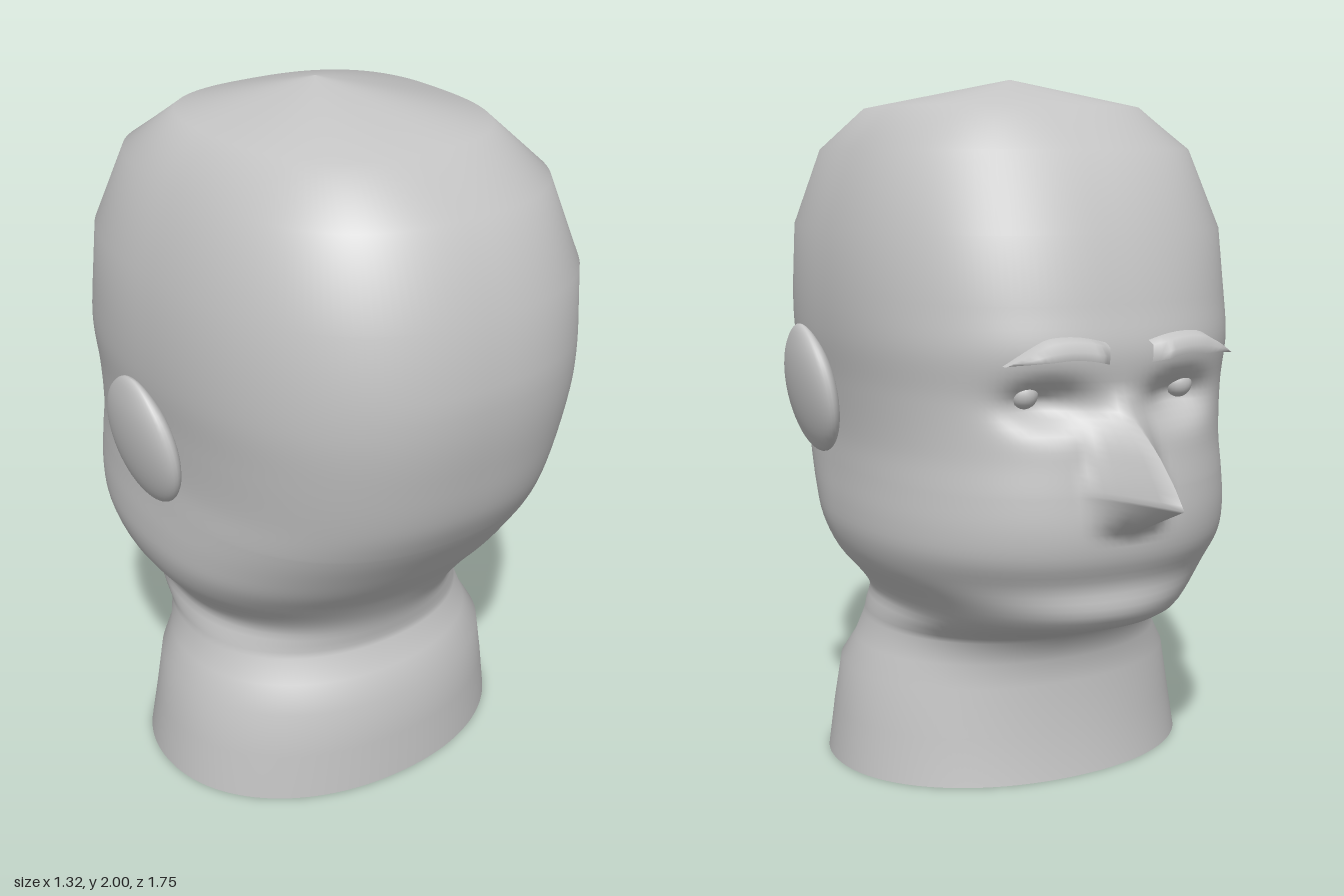
import * as THREE from 'three';

const skin = new THREE.MeshStandardMaterial({ color: 0xc4c4c4, side: THREE.DoubleSide });
skin.name = 'plain grey';

// Head cross-sections: height, half width, back z, face z, z of widest point, roundness
const SECTIONS = [
  [0.00, 0.555, 0.57, -0.30, 0.14, 2.1],
  [0.14, 0.535, 0.563, -0.275, 0.14, 2.1],
  [0.28, 0.51, 0.555, -0.27, 0.14, 2.1],
  [0.35, 0.47, 0.51, -0.265, 0.13, 2.1],
  [0.42, 0.447, 0.477, -0.30, 0.12, 2.1],
  [0.46, 0.442, 0.48, -0.38, 0.10, 2.1],
  [0.51, 0.432, 0.492, -0.52, 0.08, 2.1],
  [0.56, 0.46, 0.515, -0.567, 0.08, 2.1],
  [0.64, 0.525, 0.565, -0.565, 0.08, 2.2],
  [0.72, 0.555, 0.63, -0.60, 0.09, 2.3],
  [0.80, 0.56, 0.69, -0.612, 0.10, 2.35],
  [0.90, 0.555, 0.76, -0.605, 0.12, 2.4],
  [1.00, 0.552, 0.812, -0.59, 0.13, 2.4],
  [1.15, 0.563, 0.85, -0.572, 0.14, 2.45],
  [1.28, 0.577, 0.872, -0.582, 0.14, 2.45],
  [1.40, 0.578, 0.876, -0.558, 0.14, 2.45],
  [1.58, 0.568, 0.86, -0.52, 0.14, 2.5],
  [1.80, 0.49, 0.76, -0.41, 0.14, 2.6],
  [1.92, 0.375, 0.59, -0.23, 0.13, 2.6],
  [2.00, 0.0005, 0.0905, 0.0895, 0.09, 2],
];
const NOSE_DEPTH = [[0.78, 0], [0.80, 0.02], [0.865, 0.17], [0.907, 0.27], [0.96, 0.232],
  [1.03, 0.165], [1.115, 0.035], [1.18, 0]];
const NOSE_WIDTH = [[0.8, 0.14], [0.93, 0.135], [1.1, 0.09], [1.2, 0.07]];

// Linear lookup in a table sorted by its first column
function lookup(table, y, col = 1) {
  if (y <= table[0][0]) return table[0][col];
  for (let i = 1; i < table.length; i++) {
    const a = table[i - 1], b = table[i];
    if (y <= b[0]) return THREE.MathUtils.lerp(a[col], b[col], (y - a[0]) / (b[0] - a[0]));
  }
  return table[table.length - 1][col];
}

// Smooth lookup for the head sections
function section(y, col) {
  const T = SECTIONS;
  let i = 0;
  while (i < T.length - 2 && y > T[i + 1][0]) i++;
  const slope = (k) => {
    const a = T[Math.max(k - 1, 0)], b = T[Math.min(k + 1, T.length - 1)];
    return (b[col] - a[col]) / (b[0] - a[0]);
  };
  const h = T[i + 1][0] - T[i][0], t = (y - T[i][0]) / h, t2 = t * t, t3 = t2 * t;
  return T[i][col] * (2 * t3 - 3 * t2 + 1) + slope(i) * h * (t3 - 2 * t2 + t)
    + T[i + 1][col] * (3 * t2 - 2 * t3) + slope(i + 1) * h * (t3 - t2);
}

// Surface through rows of points, optionally closed around each row
function loft(rows, closed) {
  const n = rows[0].length, pos = rows.flat(2), index = [];
  for (let r = 0; r < rows.length - 1; r++) {
    for (let c = 0; c < (closed ? n : n - 1); c++) {
      const a = r * n + c, b = r * n + (c + 1) % n;
      index.push(a, b, a + n, b, b + n, a + n);
    }
  }
  const g = new THREE.BufferGeometry();
  g.setAttribute('position', new THREE.Float32BufferAttribute(pos, 3));
  g.setIndex(index);
  g.computeVertexNormals();
  return g;
}

// Skull, face, nose and open neck in one skin
function headGeometry() {
  const ys = SECTIONS.map((s) => s[0]).filter((y) => y < 0.42 || y > 1.38);
  for (let y = 0.42; y < 1.37; y += 0.02) ys.push(y);
  ys.push(0.907);
  ys.sort((a, b) => a - b);
  const count = 192;
  const rows = ys.map((y) => {
    const [hw, zb, zf, cz, n] = [1, 2, 3, 4, 5].map((c) => section(y, c));
    const depth = lookup(NOSE_DEPTH, y), width = lookup(NOSE_WIDTH, y);
    const row = [];
    for (let i = 0; i < count; i++) {
      const a = (i / count) * Math.PI * 2, s = Math.sin(a), c = Math.cos(a);
      const b = c > 0 ? zb - cz : cz - zf;
      const r = Math.pow(Math.pow(Math.abs(s) / hw, n) + Math.pow(Math.abs(c) / b, n), -1 / n);
      const x = r * s;
      let z = cz + r * c;
      if (c < 0) {
        // nose outwards, eye sockets inwards
        z -= depth * Math.pow(Math.max(0, 1 - Math.abs(x) / width), 1.5);
        const dx = (Math.abs(x) - 0.2) / 0.1, dy = (y - 1.14) / 0.055;
        z += 0.085 * Math.exp(-dx * dx - dy * dy);
      }
      row.push([x, y, z]);
    }
    return row;
  });
  return loft(rows, true);
}

// Thin arched brow, hooked over the eye
function browGeometry() {
  const ridge = [[0, -0.615], [0.12, -0.645], [0.5, -0.63], [0.78, -0.615], [1, -0.565]];
  const rows = [];
  for (let i = 0; i <= 16; i++) {
    const t = i / 16, x = 0.065 + 0.28 * t, front = lookup(ridge, t);
    const y = 1.255 + 0.035 * Math.sin(Math.PI * Math.min(1, 0.15 + 0.85 * t));
    const h = 0.035 * Math.min(1, 2.5 * (1 - t));
    const back = Math.max(front + 0.005, -0.59 + 0.04 * t * t);
    rows.push([[x, y + h, back], [x, y + h * 0.7, (front + back) / 2 - 0.01],
      [x, y, front], [x, y - h * 0.6, front + 0.005]]);
  }
  return loft(rows, false);
}

// Flattened oval ear with a slight peak
function earGeometry() {
  const g = new THREE.SphereGeometry(1, 32, 24), p = g.attributes.position;
  for (let i = 0; i < p.count; i++) {
    const y = p.getY(i), peak = Math.max(0, (y - 0.75) / 0.25);
    p.setXYZ(i, p.getX(i) * 0.05, y * 0.182 + 0.012 * peak * peak, p.getZ(i) * 0.168);
  }
  g.computeVertexNormals();
  return g;
}

export function createModel() {
  const model = new THREE.Group();
  model.name = 'headBust';
  const add = (name, geometry, parent) => {
    const mesh = new THREE.Mesh(geometry, skin);
    mesh.name = name;
    parent.add(mesh);
    return mesh;
  };
  add('head', headGeometry(), model);

  // Paired features, mirrored across x
  for (const [side, sign] of [['left', 1], ['right', -1]]) {
    const half = new THREE.Group();
    half.name = side + 'Features';
    half.scale.x = sign;
    const ear = add(side + 'Ear', earGeometry(), half);
    ear.position.set(0.603, 1.12, 0.162);
    ear.rotation.z = -0.16;
    add(side + 'Brow', browGeometry(), half);
    const eye = add(side + 'Eye', new THREE.SphereGeometry(0.04, 20, 14), half);
    eye.position.set(0.24, 1.165, -0.46);
    model.add(half);
  }
  return model;
}
